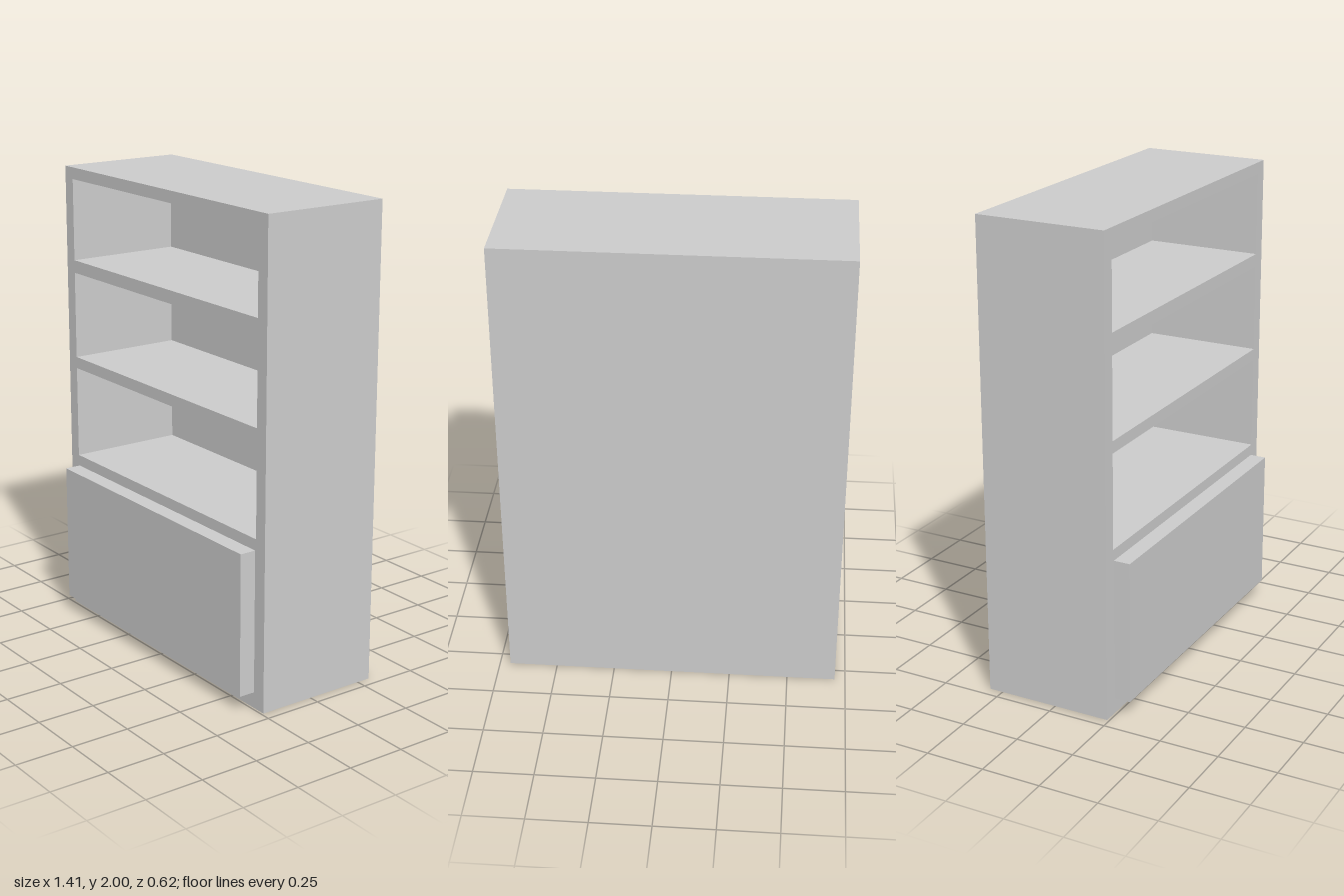
import * as THREE from 'three';

const HALF_W = 0.705, HEIGHT = 2;
const BACK = -0.31, INNER_BACK = -0.265, FRONT = 0.24, DOOR_FRONT = 0.31;
const OPENING_HALF_W = 0.648;
const OPENINGS = [[0.72, 1.12], [1.17, 1.545], [1.6, 1.95]]; // bottom and top of each bay

const material = new THREE.MeshStandardMaterial({ color: 0xcccccc, flatShading: true });

// Traces a rectangle centred on x = 0 onto a shape or path
function rect(target, halfW, y0, y1) {
  target.moveTo(-halfW, y0);
  target.lineTo(halfW, y0);
  target.lineTo(halfW, y1);
  target.lineTo(-halfW, y1);
  target.closePath();
  return target;
}

// Box centred on x = 0, given by its y and z limits
function panel(name, halfW, y0, y1, z0, z1) {
  const mesh = new THREE.Mesh(new THREE.BoxGeometry(halfW * 2, y1 - y0, z1 - z0), material);
  mesh.position.set(0, (y0 + y1) / 2, (z0 + z1) / 2);
  mesh.name = name;
  return mesh;
}

export function createModel() {
  const group = new THREE.Group();
  group.name = 'bookcase';

  // Carcass: sides, top, shelves and closed base, with three open bays
  const outline = rect(new THREE.Shape(), HALF_W, 0, HEIGHT);
  for (const [y0, y1] of OPENINGS) {
    outline.holes.push(rect(new THREE.Path(), OPENING_HALF_W, y0, y1));
  }
  const carcass = new THREE.Mesh(
    new THREE.ExtrudeGeometry(outline, { depth: FRONT - INNER_BACK, bevelEnabled: false }),
    material
  );
  carcass.position.z = INNER_BACK;
  carcass.name = 'carcass';
  group.add(carcass);

  // Back panel closing the bays
  group.add(panel('backPanel', HALF_W, 0, HEIGHT, BACK, INNER_BACK));

  // Raised front of the lower cupboard
  group.add(panel('cupboardFront', 0.643, 0.068, 0.672, FRONT, DOOR_FRONT));

  return group;
}
